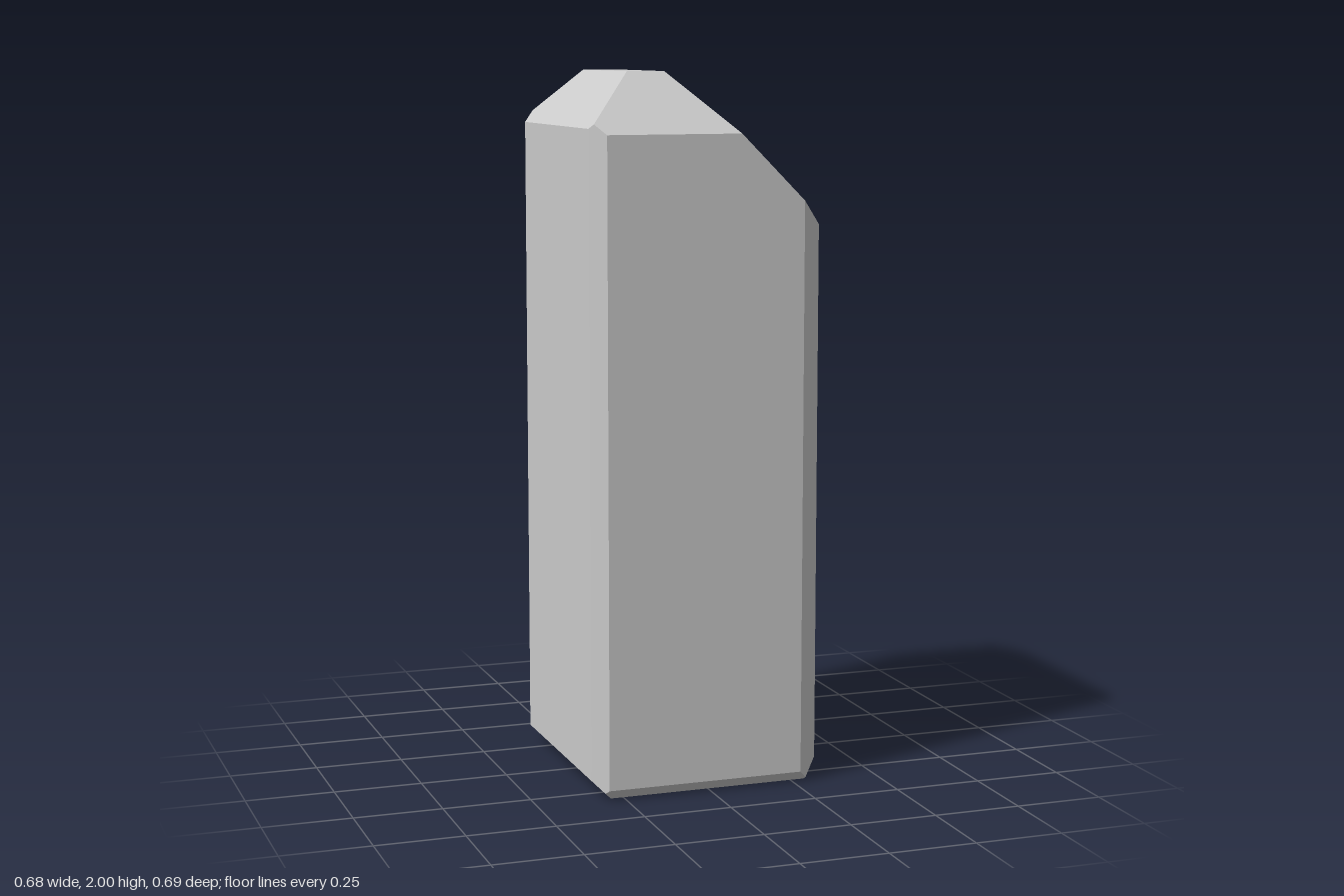
import * as THREE from 'three';
import { ConvexGeometry } from 'three/addons/geometries/ConvexGeometry.js';

// Cutting planes of the crystal: nx, ny, nz, offset (inside where n . p <= offset)
const CUTS = [
  // sides, base and top
  [1, 0, 0, 0.34], [-1, 0, 0, 0.34], [0, 0, 1, 0.345], [0, 0, -1, 0.345],
  [0, -1, 0, 0], [0, 1, 0, 2],
  // vertical corner bevels
  [1, 0, 1, 0.614], [1, 0, -1, 0.61], [-1, 0, 1, 0.645], [-1, 0, -1, 0.645],
  // sloping tip facets: right, left, front, back
  [1, 1, 0, 1.918], [-1, 1, 0, 2.19], [0, 1, 1, 2.179], [0, 1, -1, 2.22],
  // bevels around the base
  [1, -1, 0, 0.29], [-1, -1, 0, 0.287], [0, -1, 1, 0.314], [0, -1, -1, 0.315],
];

// Corners of the solid: every point where three planes meet and no other cuts it away
function cornersOf(cuts) {
  const normals = cuts.map(([x, y, z]) => new THREE.Vector3(x, y, z));
  const corners = [];
  for (let a = 0; a < cuts.length; a++) {
    for (let b = a + 1; b < cuts.length; b++) {
      for (let c = b + 1; c < cuts.length; c++) {
        const ab = normals[a].clone().cross(normals[b]);
        const bc = normals[b].clone().cross(normals[c]);
        const ca = normals[c].clone().cross(normals[a]);
        const det = normals[a].dot(bc);
        if (Math.abs(det) < 1e-6) continue;
        const p = bc.multiplyScalar(cuts[a][3])
          .addScaledVector(ca, cuts[b][3])
          .addScaledVector(ab, cuts[c][3])
          .divideScalar(det);
        const inside = cuts.every((cut, i) => normals[i].dot(p) <= cut[3] + 1e-6);
        if (inside && !corners.some((q) => q.distanceTo(p) < 1e-4)) corners.push(p);
      }
    }
  }
  return corners;
}

export function createModel() {
  const group = new THREE.Group();
  group.name = 'crystalPillar';
  const crystal = new THREE.Mesh(
    new ConvexGeometry(cornersOf(CUTS)),
    new THREE.MeshStandardMaterial({ color: 0xcccccc, flatShading: true }),
  );
  crystal.name = 'crystal';
  group.add(crystal);
  return group;
}
